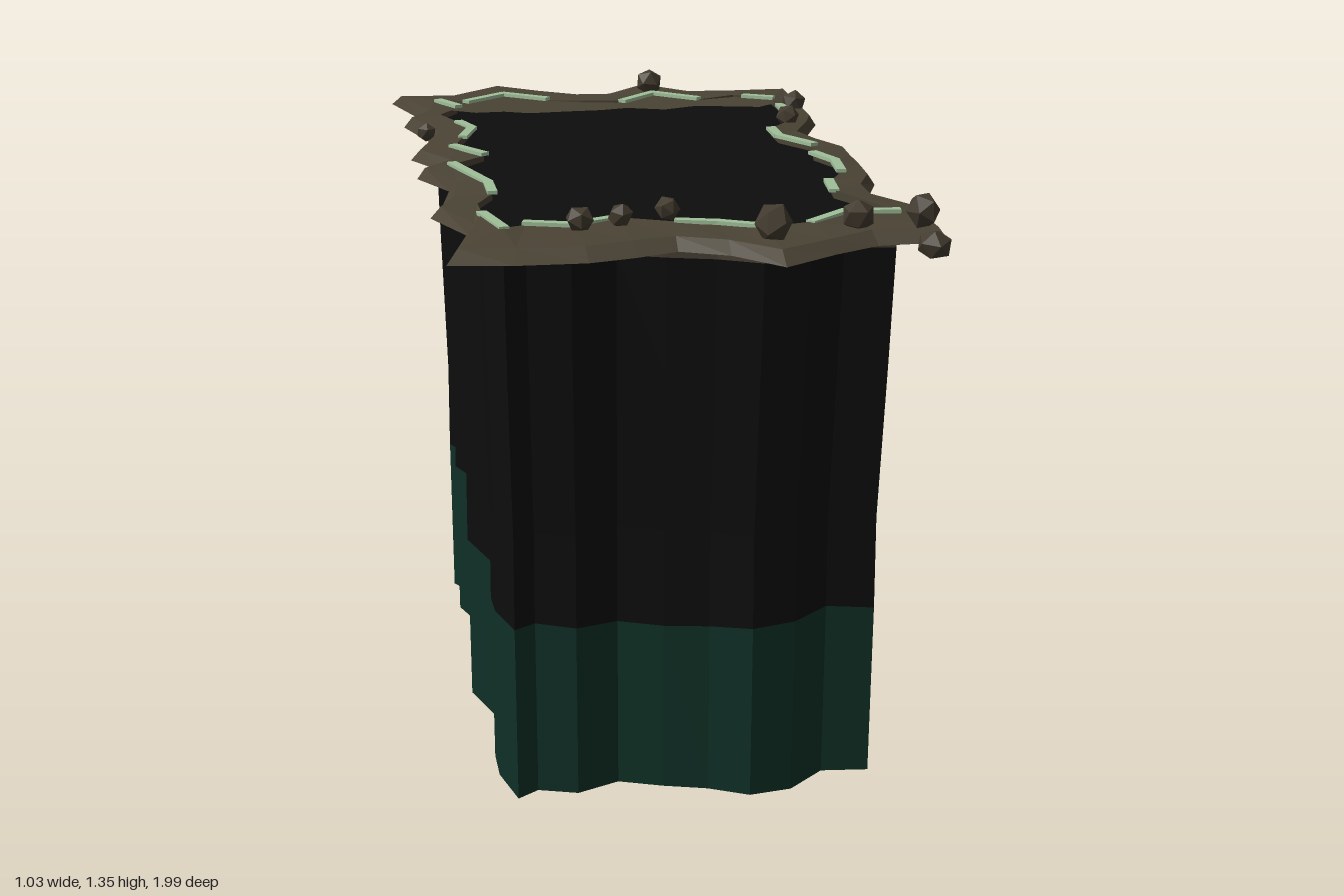
import * as THREE from 'three';

// Plan outlines as x, z pairs, starting at the back and running towards +x
const OUTER = [
  -.52, -.87, -.37, -.87, -.24, -1, -.14, -.91, -.05, -.84, .03, -.84, .14, -.97, .24, -.85, .34, -.83, .51, -.85,
  .5, -.43, .47, -.35, .43, -.24, .46, -.15, .5, -.04, .5, .06, .49, .15, .485, .27, .45, .37, .45, .47, .51, .58,
  .51, .83, .36, .84, .26, .9, .14, .99, .05, .88, -.05, .83, -.14, .87, -.24, .9, -.39, .9, -.52, .88,
  -.45, .65, -.52, .46, -.49, .37, -.46, .2, -.52, .06, -.46, -.02, -.52, -.15, -.46, -.35, -.51, -.55, -.46, -.64];
const INNER = [
  -.42, -.74, -.34, -.7, -.24, -.79, -.14, -.71, -.05, -.67, .05, -.65, .14, -.75, .24, -.66, .34, -.69, .43, -.64,
  .43, -.45, .42, -.35, .35, -.24, .35, -.15, .41, -.04, .39, .06, .42, .15, .41, .26, .36, .36, .35, .46, .4, .57,
  .44, .67, .33, .66, .24, .75, .14, .77, .05, .72, -.05, .69, -.15, .65, -.25, .7, -.34, .67, -.39, .71,
  -.42, .57, -.42, .46, -.38, .37, -.38, .27, -.44, .06, -.36, -.04, -.42, -.14, -.36, -.35, -.42, -.55, -.37, -.64];

const pairs = (a) => Array.from({ length: a.length / 2 }, (_, i) => [a[2 * i], a[2 * i + 1]]);
const outer = pairs(OUTER);
const inner = pairs(INNER);
const N = inner.length;

// One horizontal ring: y may be a number or a function of the point index
const ring = (pts, y, sx = 1, sz = 1) =>
  pts.map(([x, z], i) => [x * sx, typeof y === 'function' ? y(i) : y, z * sz]);

// Faceted skin joining successive closed rings
function loft(rings) {
  const v = [];
  for (let r = 0; r < rings.length - 1; r++) {
    for (let i = 0; i < N; i++) {
      const j = (i + 1) % N;
      const a = rings[r][i], b = rings[r + 1][i], c = rings[r + 1][j], d = rings[r][j];
      v.push(...a, ...b, ...c, ...a, ...c, ...d);
    }
  }
  const g = new THREE.BufferGeometry();
  g.setAttribute('position', new THREE.Float32BufferAttribute(v, 3));
  g.computeVertexNormals();
  return g;
}

// Flat horizontal sheet facing up or down
function sheet(pts, y, up = true) {
  const s = new THREE.Shape(pts.map(([x, z]) => new THREE.Vector2(x, up ? -z : z)));
  const g = new THREE.ShapeGeometry(s);
  g.rotateX(up ? -Math.PI / 2 : Math.PI / 2);
  return g.translate(0, y, 0);
}

// Point on the inner outline at a fractional index
function along(t) {
  const i = Math.floor(t), f = t - i, a = inner[i % N], b = inner[(i + 1) % N];
  return new THREE.Vector2(a[0] + (b[0] - a[0]) * f, a[1] + (b[1] - a[1]) * f);
}

export function createModel() {
  const group = new THREE.Group();
  const mat = (name, color) => {
    const m = new THREE.MeshStandardMaterial({ color });
    m.name = name;
    return m;
  };
  const earth = mat('earth brown', 0x4a4335);
  const stone = mat('stone brown', 0x423a2e);
  const black = mat('void black', 0x0d0d0d);
  const green = mat('deep green', 0x0f3026);
  const glow = mat('pale green', 0xa0bf9a);
  const add = (name, geometry, material, parent = group) => {
    const m = new THREE.Mesh(geometry, material);
    m.name = name;
    parent.add(m);
    return m;
  };

  // Shaft walls, narrowing slightly towards the bottom
  const waterline = ring(inner, (i) => 0.388 + 0.008 * Math.sin(i * 0.9), 0.96, 0.935);
  const collar = ring(inner, 1.21, 1, 0.995);
  add('lowerWall', loft([ring(inner, 0, 0.95, 0.93), waterline]), green);
  add('upperWall', loft([waterline, ring(inner, 0.6, 0.96, 0.935), ring(inner, 0.95, 0.985, 0.97), collar]), black);
  add('wallCollar', loft([collar, ring(inner, 1.258)]), earth);
  add('shaftFloor', sheet(inner.map(([x, z]) => [x * 0.95, z * 0.93]), 0, false), green);

  // Jagged rim with a bevelled outer edge
  const bevel = outer.map(([x, z], i) => [x + (inner[i][0] - x) * 0.22, z + (inner[i][1] - z) * 0.22]);
  add('rim', loft([
    ring(inner, 1.255), ring(outer, 1.257), ring(bevel, 1.282),
    ring(inner, (i) => 1.288 + 0.003 * Math.sin(i * 1.7)), ring(inner, 1.27),
  ]), earth);

  // Dark opening and the ledge overhanging its back end
  add('voidSurface', sheet(inner, 1.272), black);
  add('backLedge', sheet([
    ...inner.slice(0, 10), [.43, -.59], [.38, -.545], [.3, -.565], [.22, -.58], [.14, -.545], [.05, -.58],
    [-.02, -.56], [-.1, -.555], [-.2, -.545], [-.26, -.575], [-.33, -.57], [-.39, -.61], inner[40],
  ], 1.285), earth);

  // Glowing cracks: thin strips along stretches of the inner edge
  const cracks = new THREE.Group();
  cracks.name = 'glowingCracks';
  group.add(cracks);
  const runs = [[40, 40.8], [1, 3], [5, 7], [8.3, 9], [9.55, 10], [12, 14], [15, 17], [18, 19], [21, 21.6],
    [22, 23], [24, 25.8], [27, 29], [30, 31], [33, 35], [36, 37], [37.5, 38.4]];
  for (const [from, to] of runs) {
    for (let t = from; t < to;) {
      const next = Math.min(Math.floor(t) + 1, to);
      const a = along(t), b = along(next), d = b.clone().sub(a);
      const strip = add('crack', new THREE.BoxGeometry(d.length() + 0.012, 0.008, 0.022), glow, cracks);
      strip.position.set((a.x + b.x) / 2, 1.29, (a.y + b.y) / 2);
      strip.rotation.y = -Math.atan2(d.y, d.x);
      t = next;
    }
  }

  // Loose rocks: x, y, z, radius
  const rocks = [
    [-.24, 1.315, .76, .031], [-.15, 1.308, .71, .027], [-.05, 1.315, .69, .027], [.14, 1.315, .85, .042],
    [.33, 1.308, .78, .035], [.46, 1.27, .9, .036], [.46, 1.318, .8, .038], [.41, 1.3, -.34, .028],
    [.465, 1.295, -.54, .032], [-.47, 1.285, -.34, .024], [.14, 1.308, -.81, .034]];
  rocks.forEach(([x, y, z, r], i) => {
    const rock = add('rock', new THREE.IcosahedronGeometry(r, 0), stone);
    rock.position.set(x, y, z);
    rock.rotation.set(i * 1.3, i * 2.1, i * 0.7);
    rock.scale.set(1, 0.9, 1.05);
  });

  return group;
}
